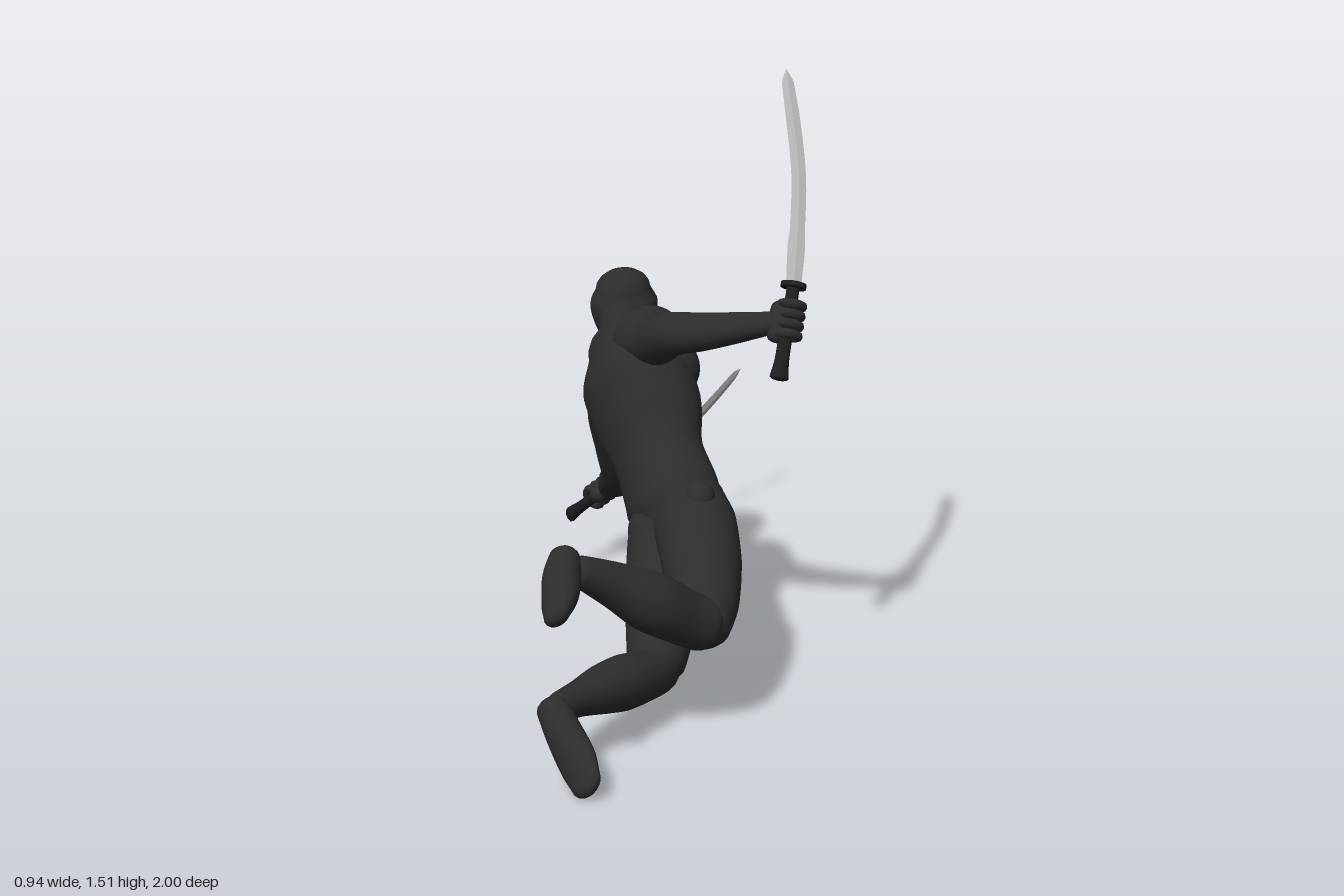
import * as THREE from 'three';

const V = (a) => new THREE.Vector3(a[0], a[1], a[2]);
const power = (v, p) => Math.sign(v) * Math.abs(v) ** p;

// Sweeps a section along stations [x, y, z, sideRadius, depthRadius], with rounded ends;
// boxy below 1 makes the ellipse squarer
function loft(stations, side, { sides = 20, steps = 6, cap = 0.7, flat = false, boxy = 1 } = {}) {
  const path = new THREE.CatmullRomCurve3(stations.map(V));
  const size = new THREE.CatmullRomCurve3(stations.map((s) => new THREE.Vector3(s[3], s[4] ?? s[3], 0)));
  const n = (stations.length - 1) * steps;
  const rings = [];
  const addRing = (t, shift, scale) => {
    const dir = path.getTangent(t);
    const r = size.getPoint(t);
    const c = path.getPoint(t).addScaledVector(dir, shift * cap * Math.max(r.x, r.y));
    rings.push({ c, dir, a: r.x * scale, b: r.y * scale });
  };
  const ends = [1.56, 1.3, 1, 0.65, 0.3];
  if (cap > 0) ends.forEach((q) => addRing(0, -Math.sin(q), Math.cos(q)));
  for (let i = 0; i <= n; i++) addRing(i / n, 0, 1);
  if (cap > 0) [...ends].reverse().forEach((q) => addRing(1, Math.sin(q), Math.cos(q)));
  const pos = [], index = [];
  rings.forEach(({ c, dir, a, b }, i) => {
    const s = V(side).addScaledVector(dir, -V(side).dot(dir)).normalize();
    const d = dir.clone().cross(s);
    for (let j = 0; j < sides; j++) {
      const q = (j / sides) * Math.PI * 2;
      const p = c.clone().addScaledVector(s, a * power(Math.cos(q), boxy))
        .addScaledVector(d, b * power(Math.sin(q), boxy));
      pos.push(p.x, p.y, p.z);
      if (i === 0) continue;
      const k = (j + 1) % sides, lo = (i - 1) * sides, hi = i * sides;
      index.push(lo + j, lo + k, hi + k, lo + j, hi + k, hi + j);
    }
  });
  let g = new THREE.BufferGeometry();
  g.setAttribute('position', new THREE.Float32BufferAttribute(pos, 3));
  g.setIndex(index);
  if (flat) g = g.toNonIndexed();
  g.computeVertexNormals();
  return g;
}

export function createModel() {
  const model = new THREE.Group();
  const make = (name, color) => {
    const m = new THREE.MeshStandardMaterial({ color });
    m.name = name;
    return m;
  };
  const suit = make('charcoalSuit', 0x2d2d2d);
  const grip = make('blackGrip', 0x1e1e1e);
  const steel = make('steel', 0xb8b8b8);

  const add = (name, geometry, material, parent = model) => {
    const mesh = new THREE.Mesh(geometry, material);
    mesh.name = name;
    parent.add(mesh);
    return mesh;
  };
  const ball = (name, at, scale) => {
    const m = add(name, new THREE.SphereGeometry(1, 24, 16), suit);
    m.position.set(...at);
    m.scale.set(...scale);
  };
  const across = [0.6, 0.75, 0.27]; // shoulder line of the tilted body

  // Torso, neck and hooded head
  add('torso', loft([
    [0.155, 0.40, 0.20, 0.1, 0.088], [0.13, 0.447, 0.168, 0.135, 0.11],
    [0.055, 0.525, 0.105, 0.13, 0.102], [-0.018, 0.62, 0.04, 0.158, 0.125],
    [-0.075, 0.702, 0.008, 0.165, 0.124], [-0.12, 0.77, -0.022, 0.118, 0.09],
  ], across, { sides: 36, boxy: 0.86 }), suit);
  add('neck', loft([
    [-0.1, 0.775, -0.012, 0.1, 0.088], [-0.145, 0.795, -0.06, 0.075, 0.068], [-0.195, 0.82, -0.12, 0.06],
  ], across), suit);
  add('head', loft([
    [-0.19, 0.755, -0.165, 0.055, 0.053], [-0.198, 0.80, -0.157, 0.08, 0.083],
    [-0.204, 0.85, -0.15, 0.086, 0.09], [-0.204, 0.89, -0.146, 0.069, 0.074],
  ], [1, 0, 0.3], { sides: 28 }), suit);

  // Shoulder, chest and hip muscles
  ball('shoulderMuscle', [-0.04, 0.81, -0.012], [0.088, 0.085, 0.082]);
  ball('rightChest', [0.0, 0.735, -0.018], [0.088, 0.088, 0.085]);
  ball('leftChest', [-0.09, 0.648, -0.035], [0.088, 0.088, 0.083]);
  ball('rightButtock', [0.21, 0.445, 0.22], [0.095, 0.09, 0.085]);
  ball('leftButtock', [0.125, 0.385, 0.21], [0.092, 0.09, 0.085]);
  ball('hipJoint', [0.248, 0.51, 0.245], [0.038, 0.038, 0.038]);

  // Arms: shoulder to elbow to wrist
  add('raisedArm', loft([
    [-0.045, 0.812, 0.015, 0.083], [0.025, 0.838, 0.075, 0.066], [0.105, 0.88, 0.135, 0.055],
    [0.19, 0.9, 0.15, 0.049], [0.28, 0.921, 0.143, 0.04], [0.375, 0.944, 0.13, 0.029],
  ], [0, 1, 0]), suit);
  add('loweredArm', loft([
    [-0.15, 0.645, -0.03, 0.082], [-0.197, 0.555, -0.085, 0.068], [-0.222, 0.455, -0.135, 0.054],
    [-0.245, 0.36, -0.20, 0.052], [-0.31, 0.302, -0.285, 0.048], [-0.39, 0.238, -0.375, 0.029],
  ], [1, 0, 0]), suit);

  // Legs: thigh, shin and foot
  const legs = [
    ['outer',
      [[0.185, 0.465, 0.175, 0.085], [0.235, 0.42, 0.24, 0.104], [0.295, 0.37, 0.32, 0.1],
        [0.36, 0.305, 0.42, 0.084], [0.385, 0.28, 0.475, 0.072]],
      [[0.385, 0.285, 0.485, 0.068], [0.36, 0.315, 0.535, 0.069], [0.325, 0.365, 0.605, 0.074],
        [0.27, 0.425, 0.685, 0.056], [0.225, 0.48, 0.77, 0.038]],
      [[0.203, 0.517, 0.805, 0.038, 0.037], [0.23, 0.492, 0.86, 0.045, 0.046],
        [0.265, 0.468, 0.925, 0.05, 0.038], [0.287, 0.455, 0.972, 0.038, 0.026]]],
    ['lower',
      [[0.11, 0.42, 0.155, 0.085], [0.14, 0.355, 0.21, 0.104], [0.17, 0.28, 0.28, 0.1],
        [0.21, 0.185, 0.375, 0.085], [0.23, 0.135, 0.425, 0.074]],
      [[0.24, 0.12, 0.445, 0.06], [0.242, 0.125, 0.5, 0.061], [0.232, 0.137, 0.59, 0.068],
        [0.223, 0.147, 0.67, 0.06], [0.215, 0.157, 0.77, 0.043], [0.215, 0.167, 0.85, 0.036]],
      [[0.21, 0.17, 0.875, 0.04, 0.037], [0.25, 0.128, 0.893, 0.047, 0.04],
        [0.305, 0.076, 0.92, 0.056, 0.032], [0.343, 0.041, 0.944, 0.047, 0.022]]],
  ];
  for (const [name, thigh, shin, foot] of legs) {
    add(name + 'Thigh', loft(thigh, [1, 0.4, 0]), suit);
    add(name + 'Shin', loft(shin, [1, 0.4, 0]), suit);
    add(name + 'Foot', loft(foot, [0.7, 0.7, 0]), suit);
  }

  // Curved sword with the hand that grips it
  function swordAndHand(name, pommel, guard, mid, tip, width, wrist) {
    const group = new THREE.Group();
    group.name = name;
    model.add(group);
    const p = V(pommel), g = V(guard);
    const dir = g.clone().sub(p).normalize();
    const along = (t, r1, r2) => [...p.clone().lerp(g, t).toArray(), r1, r2];

    add('hilt', loft([along(0, 0.024, 0.016), along(0.2, 0.018, 0.013), along(1, 0.016, 0.012)],
      width, { sides: 10, cap: 0.3 }), grip, group);
    const disc = add('guard', new THREE.CylinderGeometry(0.032, 0.032, 0.012, 20), grip, group);
    disc.position.copy(g);
    disc.quaternion.setFromUnitVectors(new THREE.Vector3(0, 1, 0), dir);

    const arc = new THREE.CatmullRomCurve3([g, V(mid), V(tip)]);
    const at = (t, r) => [...arc.getPoint(t).toArray(), r, 0.0035];
    add('blade', loft([at(0, 0.019), at(0.25, 0.019), at(0.5, 0.0185), at(0.75, 0.018), at(0.94, 0.015),
      [...tip, 0.001, 0.001]], width, { sides: 4, steps: 4, cap: 0, flat: true }), steel, group);

    // Palm and curled fingers
    const centre = p.clone().lerp(g, 0.62);
    const toWrist = V(wrist).sub(centre).normalize();
    const palm = centre.clone().addScaledVector(toWrist, 0.022);
    const q = (c, s, a, b) => [...c.clone().addScaledVector(dir, s).toArray(), a, b];
    add('palm', loft([q(palm, -0.035, 0.026, 0.024), q(palm, 0, 0.03, 0.032), q(palm, 0.035, 0.026, 0.024)],
      toWrist.toArray(), { sides: 14 }), suit, group);
    add('wrist', loft([[...wrist, 0.029, 0.029], [...palm.toArray(), 0.03, 0.028]], dir.toArray()), suit, group);
    for (let i = 0; i < 4; i++) {
      const finger = add('finger', new THREE.TorusGeometry(0.026, 0.012, 8, 16), suit, group);
      finger.position.copy(centre).addScaledVector(dir, (i - 1.5) * 0.025).addScaledVector(toWrist, -0.004);
      finger.quaternion.setFromUnitVectors(new THREE.Vector3(0, 0, 1), dir);
    }
  }
  swordAndHand('raisedSword', [0.432, 0.828, 0.182], [0.41, 1.03, 0.07], [0.358, 1.273, -0.05],
    [0.27, 1.515, -0.145], [0.68, 0.15, -0.72], [0.375, 0.944, 0.13]);
  swordAndHand('loweredSword', [-0.45, 0.18, -0.272], [-0.412, 0.235, -0.49], [-0.36, 0.308, -0.755],
    [-0.315, 0.43, -0.997], [0.1, 0.9, 0.35], [-0.39, 0.238, -0.375]);

  return model;
}
